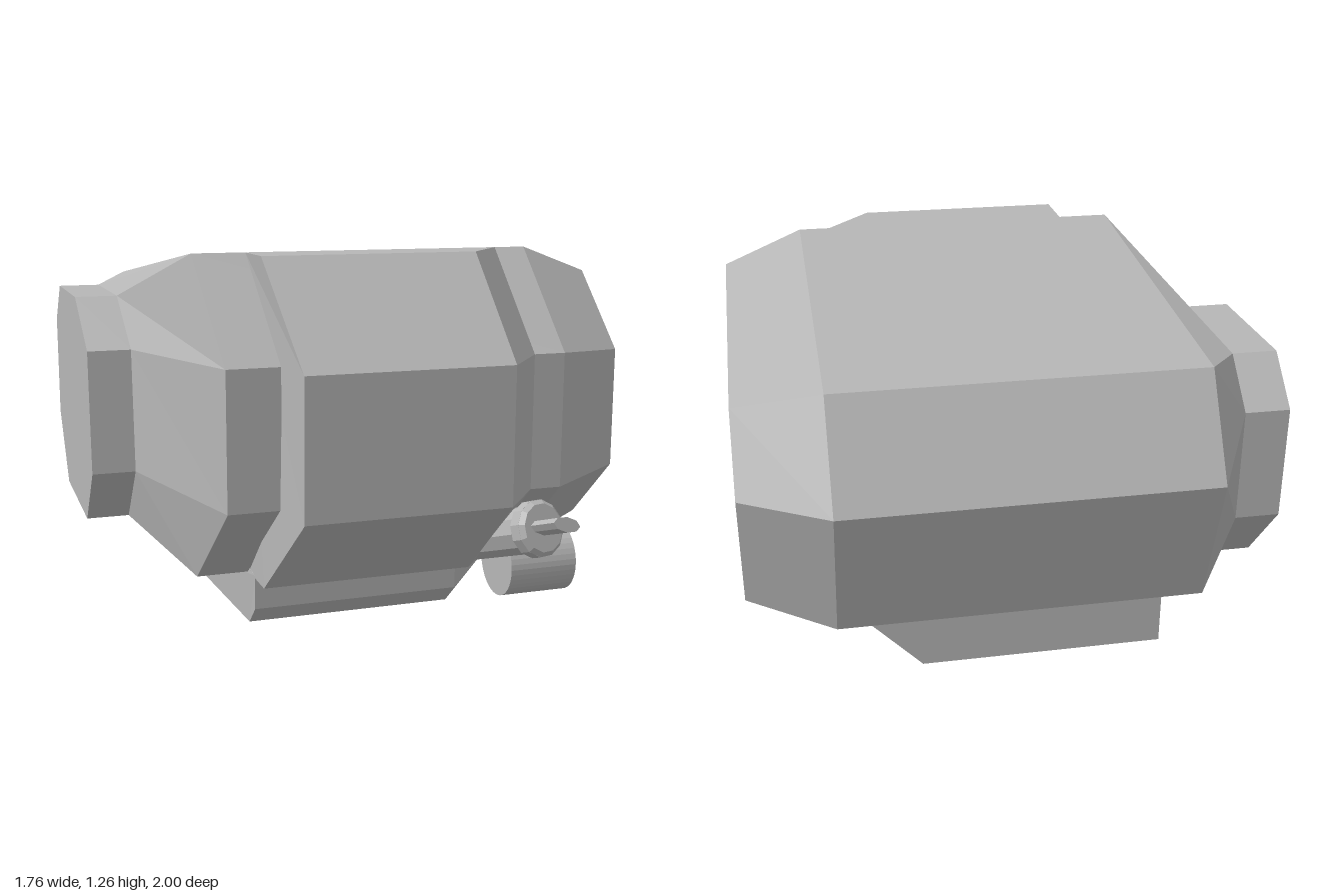
import * as THREE from 'three';

const grey = new THREE.MeshStandardMaterial({ color: 0xb6b6b6, flatShading: true });
grey.name = 'casing grey';

// Closed loft through rings of [x, y, z] points, ordered from low x to high x
function loft(name, rings) {
  const pos = [];
  const n = rings[0].length;
  const tri = (a, b, c) => pos.push(...a, ...b, ...c);
  for (let r = 0; r < rings.length - 1; r++) {
    const a = rings[r], b = rings[r + 1];
    for (let i = 0; i < n; i++) {
      const j = (i + 1) % n;
      tri(a[i], a[j], b[j]);
      tri(a[i], b[j], b[i]);
    }
  }
  const first = rings[0], last = rings[rings.length - 1];
  for (let i = 1; i < n - 1; i++) {
    tri(first[0], first[i + 1], first[i]);
    tri(last[0], last[i], last[i + 1]);
  }
  const geo = new THREE.BufferGeometry();
  geo.setAttribute('position', new THREE.Float32BufferAttribute(pos, 3));
  geo.computeVertexNormals();
  const mesh = new THREE.Mesh(geo, grey);
  mesh.name = name;
  return mesh;
}

// Places a [z, y] profile at x, which may differ per point
const ring = (x, profile) => profile.map(([z, y], i) => [Array.isArray(x) ? x[i] : x, y, z]);

function cylinder(name, rTop, rBottom, length, sides, y = 0) {
  const mesh = new THREE.Mesh(new THREE.CylinderGeometry(rTop, rBottom, length, sides), grey);
  mesh.name = name;
  mesh.position.y = y;
  return mesh;
}

export function createModel() {
  const model = new THREE.Group();
  model.name = 'casing';

  // Main body: narrow left neck, full section, tapered right end
  const full = [[0.41, 1.26], [0.73, 0.93], [0.73, 0.475], [0.41, 0.18],
    [-0.5, 0.185], [-0.87, 0.33], [-1, 0.79], [-0.81, 1.11]];
  const neck = [[-0.17, 1.075], [0.105, 0.915], [0.13, 0.49], [-0.05, 0.285],
    [-0.57, 0.3], [-0.78, 0.55], [-0.78, 0.93], [-0.63, 1.075]];
  const end = [[0.33, 1.165], [0.58, 0.91], [0.58, 0.5], [0.33, 0.265],
    [-0.45, 0.27], [-0.73, 0.38], [-0.835, 0.79], [-0.69, 1.035]];
  model.add(loft('mainBody', [
    ring(-0.88, neck),
    ring(-0.73, neck),
    ring([-0.58, -0.55, -0.55, -0.58, -0.6, -0.6, -0.6, -0.6], full),
    ring(0.6, full),
    ring(0.88, end),
  ]));

  // Raised front panel, blending into the body on its right side
  const bulge = [[0.41, 1.26], [0.6, 1.26], [0.92, 0.93], [0.92, 0.475], [0.6, 0.18], [0.41, 0.18]];
  const bulgeEnd = [[0.41, 1.26], [0.41, 1.26], [0.73, 0.93], [0.73, 0.475], [0.41, 0.18], [0.41, 0.18]];
  model.add(loft('frontBulge', [
    ring([-0.4, -0.4, -0.36, -0.36, -0.4, -0.4], bulge),
    ring(0.33, bulge),
    ring(0.49, bulgeEnd),
  ]));

  // Sump under the body with the same slanted right side
  const sump = [[0.49, 0.19], [0.485, 0.07], [0.41, 0], [-0.5, 0.01], [-0.87, 0.165], [-0.87, 0.33], [-0.5, 0.26]];
  const sumpEnd = [[0.41, 0.19], [0.41, 0.18], [0.41, 0.18], [-0.5, 0.185], [-0.87, 0.33], [-0.87, 0.33], [-0.5, 0.26]];
  model.add(loft('sump', [
    ring([-0.4, -0.4, -0.4, -0.46, -0.46, -0.46, -0.46], sump),
    ring(0.33, sump),
    ring(0.49, sumpEnd),
  ]));

  // Sideways canister
  const canister = cylinder('canister', 0.12, 0.12, 0.245, 40);
  canister.rotation.z = Math.PI / 2;
  canister.position.set(0.567, 0.185, 0.58);
  model.add(canister);

  // Tilted filler tube with a stepped rim and a flat tap
  const filler = new THREE.Group();
  filler.name = 'filler';
  filler.position.set(0.46, 0.385, 0.88);
  filler.quaternion.setFromUnitVectors(
    new THREE.Vector3(0, 1, 0), new THREE.Vector3(0.27, 0.35, 1).normalize());
  filler.add(
    cylinder('fillerTube', 0.08, 0.08, 0.34, 10, -0.2),
    cylinder('fillerRim', 0.095, 0.095, 0.04, 12, -0.03),
    cylinder('fillerRimEdge', 0.08, 0.095, 0.015, 12, -0.003),
  );
  const tap = cylinder('fillerTap', 0.055, 0.055, 0.11, 8, 0.06);
  tap.scale.z = 0.45;
  filler.add(tap);
  model.add(filler);

  return model;
}
